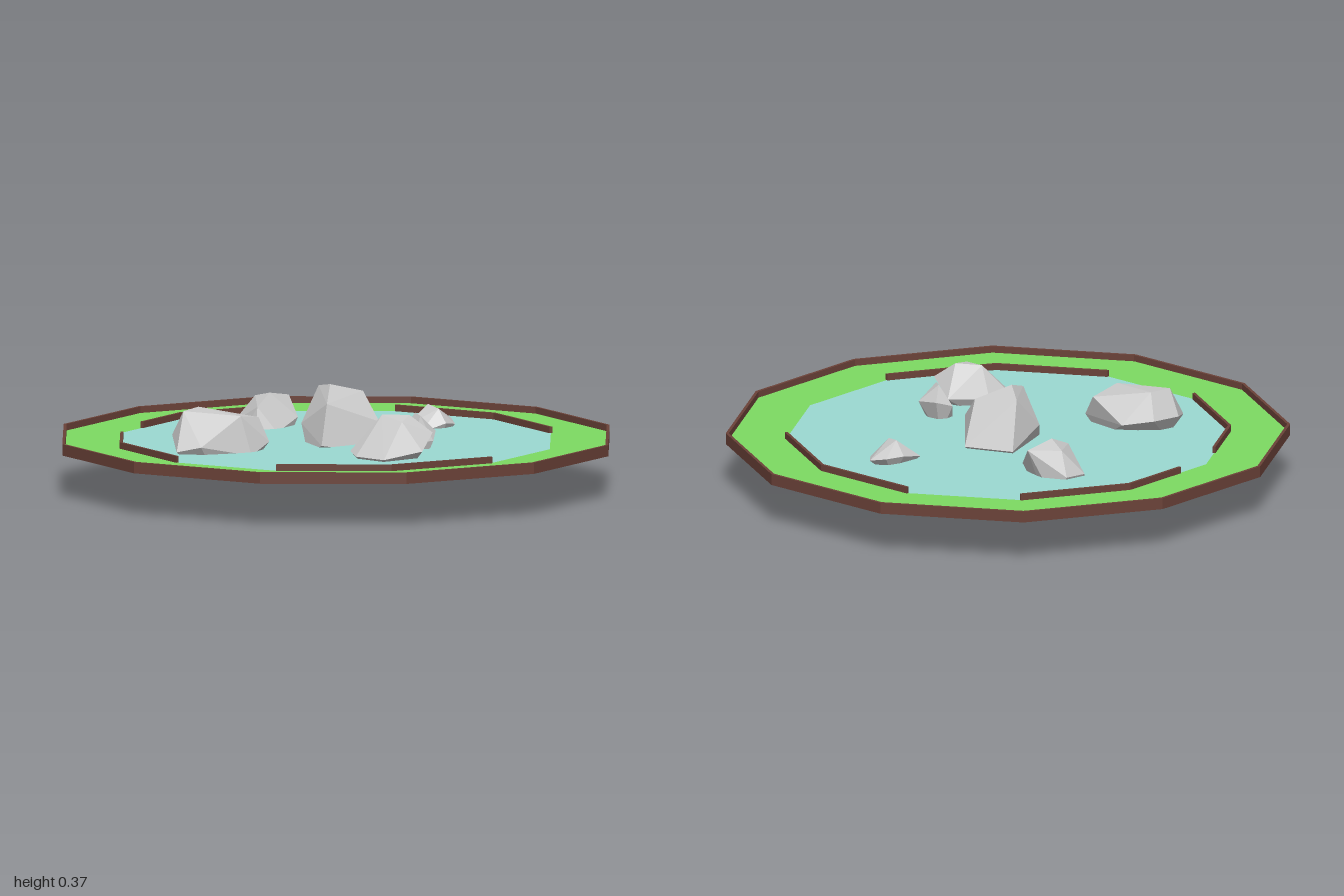
import * as THREE from 'three';
import { ConvexGeometry } from 'three/addons/geometries/ConvexGeometry.js';

const BOTTOM = 0.155, SURFACE = 0.172, TOP = 0.195;
const SHORE = 0.785, WALL = 0.011;

const paint = (color, side = THREE.FrontSide) =>
  new THREE.MeshStandardMaterial({ color, side, flatShading: true });
const wood = paint(0x6b4238);
const stone = paint(0xcccccc);

// point on a twelve-sided outline; a fractional step lies on the straight edge
function corner(step, radius) {
  const at = (i) => new THREE.Vector2(Math.cos(i * Math.PI / 6), Math.sin(i * Math.PI / 6)).multiplyScalar(radius);
  const low = Math.floor(step);
  return at(low).lerp(at(low + 1), step - low);
}
const outline = (radius) => Array.from({ length: 12 }, (_, i) => corner(i, radius));

function ringShape(outer, inner) {
  const shape = new THREE.Shape(outline(outer));
  shape.holes.push(new THREE.Path(outline(inner)));
  return shape;
}

export function createModel() {
  const model = new THREE.Group();
  const add = (name, geometry, material) => {
    const mesh = new THREE.Mesh(geometry, material);
    mesh.name = name;
    model.add(mesh);
    return mesh;
  };
  // lay a drawn shape flat, either as a sheet or as a low wall
  const sheet = (name, shape, color) =>
    add(name, new THREE.ShapeGeometry(shape).rotateX(-Math.PI / 2).translate(0, SURFACE, 0),
      paint(color, THREE.DoubleSide));
  const wall = (name, shape, y0, y1) =>
    add(name, new THREE.ExtrudeGeometry(shape, { depth: y1 - y0, bevelEnabled: false })
      .rotateX(-Math.PI / 2).translate(0, y0, 0), wood);
  const rock = (name, points) =>
    add(name, new ConvexGeometry(points.map((p) => new THREE.Vector3(...p))), stone);

  // ground
  sheet('grassBank', ringShape(1 - WALL / 2, SHORE), 0x7ddb62);
  sheet('water', new THREE.Shape(outline(SHORE)), 0x9bd9d2);
  wall('outerRim', ringShape(1, 1 - WALL), BOTTOM, TOP);

  // broken curb along the shore: start, bend and end of each stretch
  for (const steps of [[1, 2, 3], [4, 5, 5.66], [6.34, 7, 8], [9, 10, 11]]) {
    const outer = steps.map((s) => corner(s, SHORE + WALL / 2));
    const inner = steps.map((s) => corner(s, SHORE - WALL / 2)).reverse();
    wall('shoreCurb', new THREE.Shape([...outer, ...inner]), SURFACE, TOP);
  }

  // rocks: hulls around a few corner points
  rock('centreRock', [
    [-.03, .37, -.03], [-.1, .35, -.13], [.06, .335, -.14], [0, .32, .12], [-.13, .23, -.01],
    [.145, .24, -.05], [-.12, .18, -.2], [.06, .18, -.22], [.1, .15, .07], [0, .18, .19],
    [-.04, .03, -.03], [.06, .07, -.08], [-.08, .14, .09]]);
  rock('frontRightRock', [
    [-.46, .31, .36], [-.43, .315, .27], [-.25, .3, .36], [-.22, .28, .23], [-.51, .22, .33],
    [-.46, .22, .235], [-.35, .2, .2], [-.17, .2, .27], [-.21, .16, .36], [-.36, .2, .485],
    [-.45, .18, .485], [-.33, .08, .4], [-.45, .12, .36], [-.23, .12, .28]]);
  rock('frontLeftRock', [
    [.25, .315, .29], [.345, .315, .27], [.34, .3, .35], [.15, .19, .35], [.21, .2, .27],
    [.34, .2, .2], [.43, .255, .27], [.42, .2, .37], [.31, .18, .48], [.19, .18, .42],
    [.23, .09, .33], [.35, .12, .3]]);
  rock('backRightRock', [
    [-.33, .29, -.31], [-.29, .27, -.42], [-.4, .27, -.37], [-.35, .25, -.22], [-.465, .18, -.32],
    [-.43, .18, -.39], [-.24, .2, -.36], [-.28, .16, -.23], [-.35, .13, -.19], [-.45, .08, -.24],
    [-.365, 0, -.25], [-.34, .01, -.34], [-.29, .05, -.3], [-.38, .09, -.39]]);
  rock('backLeftRock', [
    [.21, .25, -.46], [.26, .24, -.42], [.15, .18, -.39], [.17, .2, -.48], [.21, .2, -.54],
    [.27, .19, -.55], [.305, .18, -.475], [.29, .19, -.41], [.21, .16, -.365], [.22, .115, -.47],
    [.27, .13, -.43]]);
  rock('smallRock', [
    [.31, .295, .07], [.34, .29, .11], [.26, .22, .08], [.3, .24, .03], [.38, .23, .05],
    [.385, .2, .1], [.33, .2, .15], [.28, .16, .12], [.31, .105, .08], [.35, .12, .1]]);

  return model;
}
